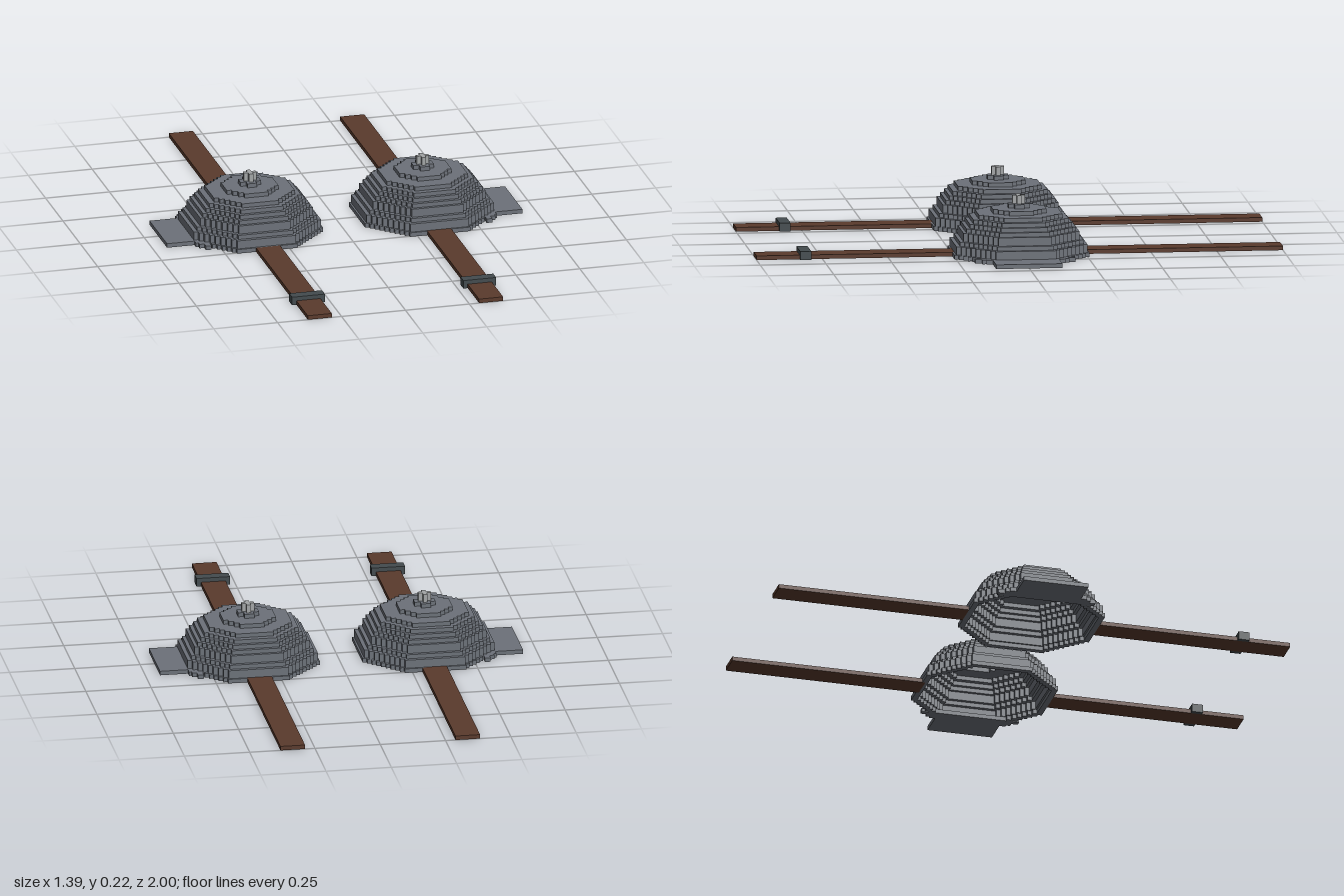
import * as THREE from 'three';

const V = 0.016; // block size
const mat = (name, color) => {
  const m = new THREE.MeshStandardMaterial({ color });
  m.name = name;
  return m;
};

// Octagon outline whose diagonal sides climb in block steps
function steppedOctagon(r, PathType) {
  const flat = r * 0.46;
  const n = Math.max(1, Math.round((r - flat) / V));
  const s = (r - flat) / n;
  const quarter = [[r, flat]];
  for (let i = 1; i <= n; i++) {
    quarter.push([r - i * s, flat + (i - 1) * s], [r - i * s, flat + i * s]);
  }
  const pts = [];
  for (let q = 0; q < 4; q++) {
    const c = Math.round(Math.cos(q * Math.PI / 2)), d = Math.round(Math.sin(q * Math.PI / 2));
    for (const [x, y] of quarter) pts.push(new THREE.Vector2(x * c - y * d, x * d + y * c));
  }
  return new PathType(pts);
}

export function createModel() {
  const steel = mat('steel grey', 0x6c7179);
  const leather = mat('brown leather', 0x5a3a2c);
  const darkIron = mat('dark iron', 0x434b4e);
  const bright = mat('light metal', 0xa2a5a6);
  const root = new THREE.Group();
  root.name = 'strappedPads';

  const box = (parent, name, material, w, h, d, x, y, z) => {
    const m = new THREE.Mesh(new THREE.BoxGeometry(w, h, d), material);
    m.position.set(x, y + h / 2, z);
    m.name = name;
    parent.add(m);
  };

  // Half-width of each dome layer, bottom to top
  const radii = [0.256, 0.249, 0.249, 0.234, 0.22, 0.22, 0.208, 0.194, 0.18, 0.158, 0.101, 0.04];

  for (const side of [-1, 1]) {
    const pad = new THREE.Group();
    pad.name = side > 0 ? 'leftPad' : 'rightPad';
    pad.position.x = side * 0.338;
    root.add(pad);

    // Hollow stepped dome, one ring per layer
    const dome = new THREE.Group();
    dome.name = 'dome';
    pad.add(dome);
    radii.forEach((r, i) => {
      const shape = steppedOctagon(r, THREE.Shape);
      if (i < radii.length - 1) {
        shape.holes.push(steppedOctagon(Math.min(r - 0.022, radii[i + 1] - 0.004), THREE.Path));
      }
      const geo = new THREE.ExtrudeGeometry(shape, { depth: V, bevelEnabled: false });
      geo.rotateX(-Math.PI / 2);
      const ring = new THREE.Mesh(geo, steel);
      ring.position.y = i * V;
      ring.name = 'domeLayer';
      dome.add(ring);
    });

    // Cross-shaped knob on top
    const top = radii.length * V;
    box(pad, 'knob', bright, 3 * V, 2 * V, V, 0, top, 0);
    for (const z of [-V, V]) box(pad, 'knobArm', bright, V, 2 * V, V, 0, top, z);

    // Outer flap, narrowing in steps away from the dome
    const steps = [[0.2, 0.222, 0.19], [0.222, 0.24, 0.165], [0.24, 0.25, 0.15], [0.25, 0.357, 0.126]];
    for (const [a, b, half] of steps) {
      box(pad, 'flap', steel, b - a, V, 2 * half, side * (a + b) / 2, 0, 0);
    }

    // Straps to front and back
    for (const dir of [-1, 1]) {
      box(pad, 'strap', leather, 0.094, V, 0.755, -side * 0.003, 0, dir * 0.6225);
    }

    // Buckle wrapped over the front strap
    box(pad, 'buckle', darkIron, 0.128, V, 0.042, -side * 0.003, V, 0.815);
    for (const e of [-1, 1]) {
      box(pad, 'buckleSide', darkIron, 0.017, V, 0.042, -side * 0.003 + e * 0.0555, 0, 0.815);
    }
  }
  return root;
}
